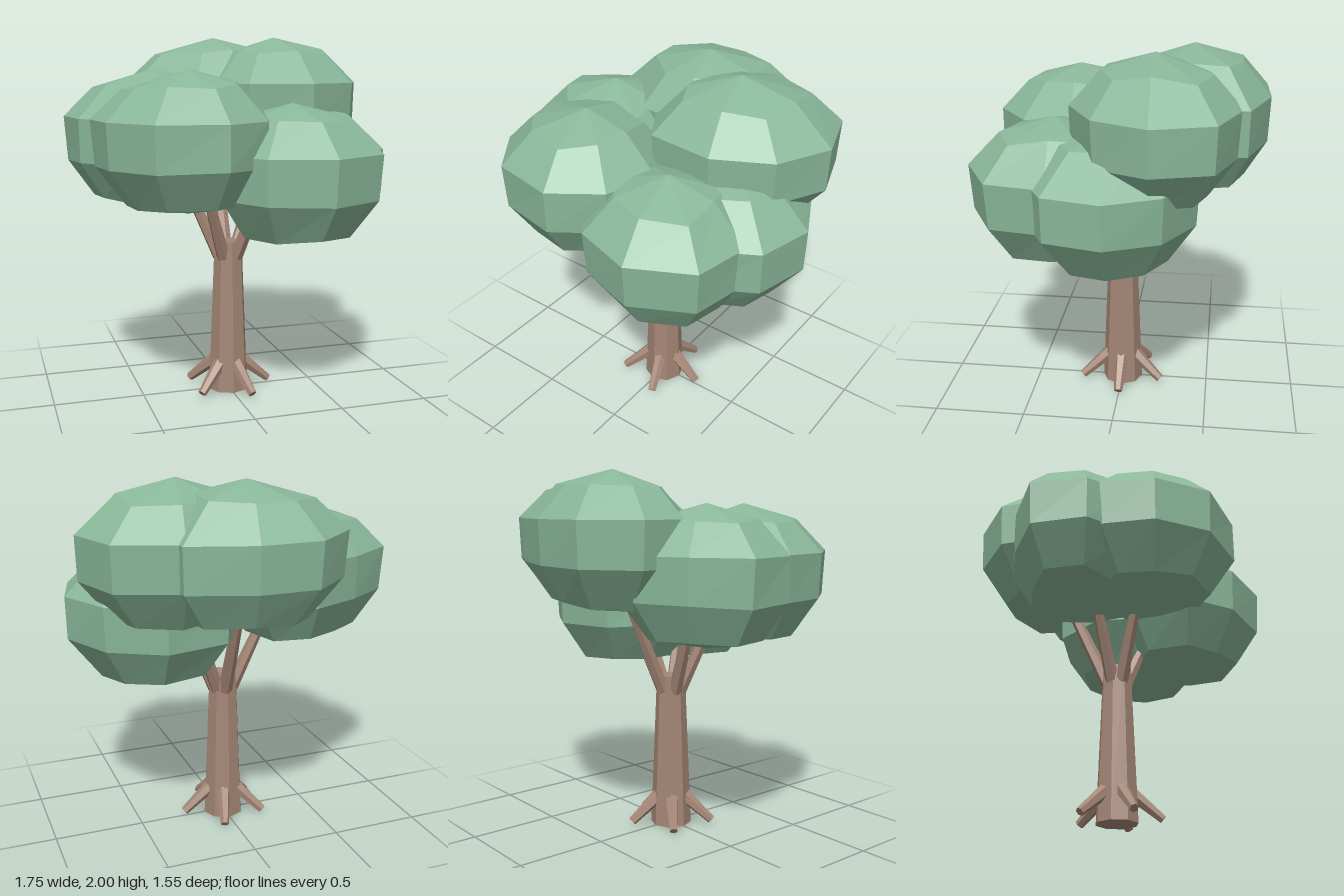
import * as THREE from 'three';

const bark = new THREE.MeshStandardMaterial({ color: 0xa58676, flatShading: true });
bark.name = 'bark brown';
const leaf = new THREE.MeshStandardMaterial({ color: 0x8ab79a, flatShading: true });
leaf.name = 'leaf green';

// Leaf clumps: centre, and the [x, z] outline of the widest ring
const CLUMPS = [
  { name: 'leafClumpLeft', c: [0.4, 1.275, 0], ring: [[0.875, 0], [0.8, 0.3], [0.55, 0.44], [0.2, 0.42], [-0.03, 0.2], [-0.05, -0.1], [0.1, -0.37], [0.45, -0.44], [0.74, -0.28]] },
  { name: 'leafClumpFrontLeft', c: [0.26, 1.28, 0.32], ring: [[0.71, 0.3], [0.65, 0.61], [0.33, 0.775], [0, 0.675], [-0.17, 0.45], [-0.11, 0.12], [0.15, -0.1], [0.45, -0.1], [0.65, 0.06]] },
  { name: 'leafClumpFrontRight', c: [-0.29, 1.455, 0.27], ring: [[0.15, 0.27], [0.05, 0.54], [-0.2, 0.715], [-0.55, 0.65], [-0.74, 0.4], [-0.78, 0.12], [-0.6, -0.1], [-0.3, -0.18], [0.02, -0.02]] },
  { name: 'leafClumpRight', c: [-0.4, 1.455, -0.1], ring: [[0.06, -0.12], [0.02, 0.2], [-0.3, 0.34], [-0.62, 0.28], [-0.83, 0.07], [-0.875, -0.22], [-0.61, -0.4], [-0.33, -0.52], [-0.05, -0.42]] },
  { name: 'leafClumpBack', c: [0.02, 1.63, -0.38], ring: [[0.48, -0.35], [0.35, -0.08], [0.1, -0.01], [-0.17, -0.03], [-0.46, -0.3], [-0.47, -0.55], [-0.22, -0.77], [0.11, -0.78], [0.45, -0.67]] },
  { name: 'leafClumpBackLeft', c: [0.33, 1.63, -0.2], ring: [[0.85, -0.21], [0.71, 0.07], [0.42, 0.22], [0.06, 0.19], [-0.06, 0], [-0.1, -0.26], [0.1, -0.53], [0.42, -0.64], [0.75, -0.52]] },
];

// Each ring from top to bottom: height, relative width, unevenness of the width
const RINGS = [[0.29, 0.63, 0.05], [0.117, 1, 0], [-0.117, 0.98, 0.02], [-0.325, 0.66, 0.04]];
const HALF_HEIGHT = 0.372;

function seeded(seed) {
  let s = seed;
  return () => (s = (s * 16807) % 2147483647) / 2147483647;
}

function clumpGeometry({ c: [cx, cy, cz], ring }, seed) {
  const rnd = seeded(seed);
  const n = ring.length;
  const pos = [cx, cy + HALF_HEIGHT, cz];
  const idx = [];
  RINGS.forEach(([dy, w, uneven]) => ring.forEach(([x, z]) => {
    // Points pushed outwards also sink towards the middle
    const push = (rnd() * 2 - 1) * uneven;
    const y = cy + dy - Math.sign(dy) * push * 0.4;
    pos.push(cx + (x - cx) * (w + push), y, cz + (z - cz) * (w + push));
  }));
  pos.push(cx, cy - HALF_HEIGHT, cz);
  const last = 1 + RINGS.length * n;
  const at = (r, i) => 1 + r * n + (i % n);
  for (let i = 0; i < n; i++) {
    idx.push(0, at(0, i + 1), at(0, i));
    for (let r = 0; r < RINGS.length - 1; r++) {
      const a = at(r, i), b = at(r, i + 1), d = at(r + 1, i + 1), e = at(r + 1, i);
      idx.push(a, b, d, a, d, e);
    }
    idx.push(last, at(3, i), at(3, i + 1));
  }
  const g = new THREE.BufferGeometry();
  g.setAttribute('position', new THREE.Float32BufferAttribute(pos, 3));
  g.setIndex(idx);
  const flat = g.toNonIndexed();
  flat.computeVertexNormals();
  return flat;
}

// Tapered stick between two points
function limb(name, from, to, r0, r1, sides) {
  const dir = to.clone().sub(from);
  const mesh = new THREE.Mesh(new THREE.CylinderGeometry(r1, r0, dir.length(), sides), bark);
  mesh.name = name;
  mesh.position.copy(from).addScaledVector(dir, 0.5);
  mesh.quaternion.setFromUnitVectors(new THREE.Vector3(0, 1, 0), dir.normalize());
  return mesh;
}

const polar = (a, r, y) => new THREE.Vector3(Math.cos(a) * r, y, Math.sin(a) * r);

export function createModel() {
  const tree = new THREE.Group();
  tree.name = 'tree';

  // Trunk
  tree.add(limb('trunk', polar(0, 0, 0), polar(0, 0, 0.87), 0.115, 0.08, 8));

  // Five roots spread evenly
  for (let i = 0; i < 5; i++) {
    const a = (i / 5) * Math.PI * 2;
    tree.add(limb('root', polar(a, 0.07, 0.17), polar(a, 0.24, 0.028), 0.04, 0.024, 6));
  }

  // Clumps, each carried by a branch
  CLUMPS.forEach((clump, i) => {
    const [x, y, z] = clump.c;
    const a = Math.atan2(z, x);
    const tipY = y - 0.25;
    tree.add(limb('branch', polar(a, 0.05, 0.78), polar(a, 0.05 + (tipY - 0.78) * 0.45, tipY), 0.039, 0.027, 6));
    const mesh = new THREE.Mesh(clumpGeometry(clump, 101 + i * 977), leaf);
    mesh.name = clump.name;
    tree.add(mesh);
  });
  return tree;
}
